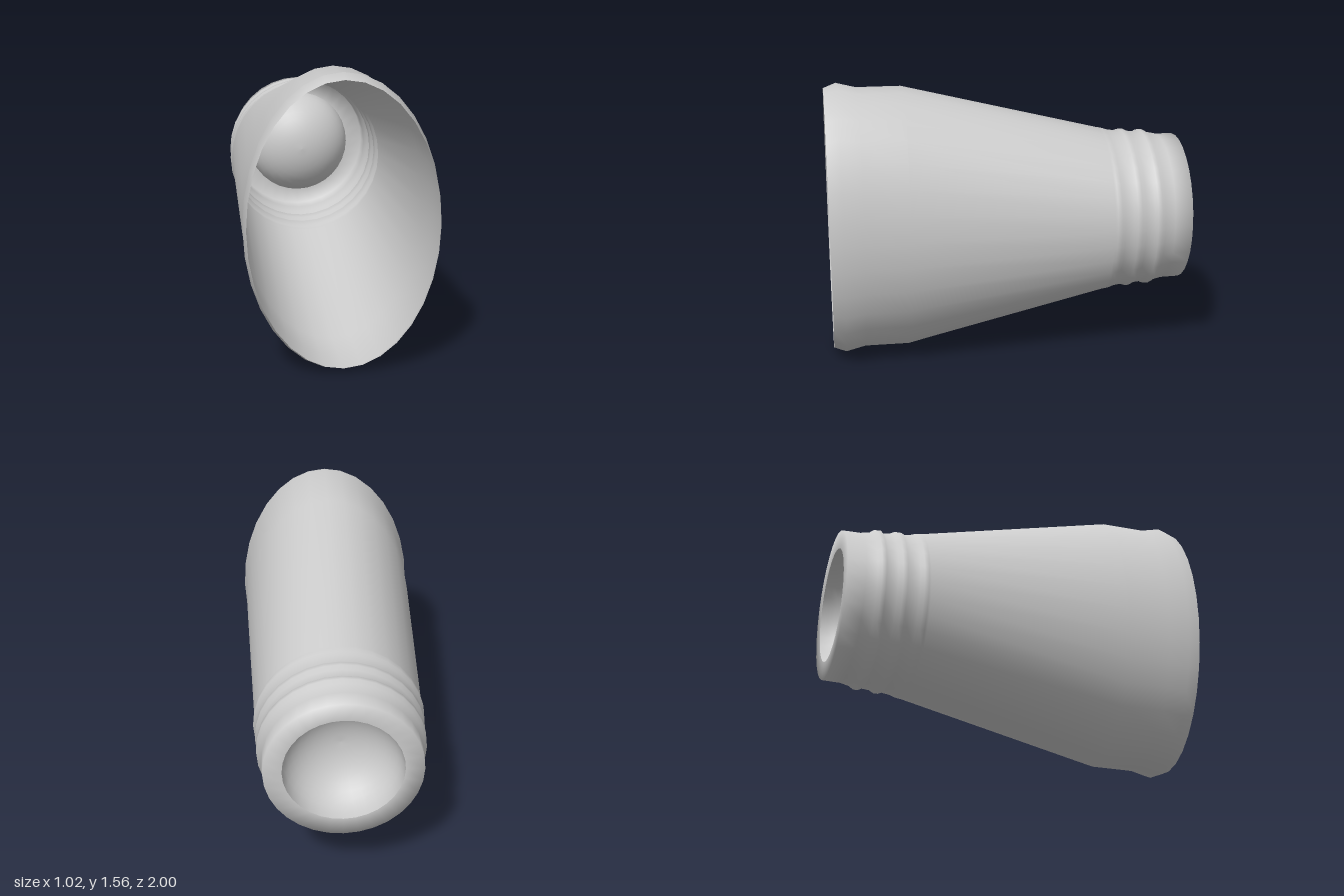
import * as THREE from 'three';

const SEGMENTS = 32;
const CENTRE_Y = 0.78;

// Skin a row of elliptical sections [z, rx, ry], ordered from front to back.
function loft(sections) {
  const positions = [], index = [];
  for (const [z, rx, ry] of sections) {
    for (let i = 0; i < SEGMENTS; i++) {
      const a = (i / SEGMENTS) * Math.PI * 2;
      positions.push(rx * Math.cos(a), ry * Math.sin(a), z);
    }
  }
  for (let s = 0; s < sections.length - 1; s++) {
    for (let i = 0; i < SEGMENTS; i++) {
      const j = (i + 1) % SEGMENTS;
      const a = s * SEGMENTS + i, b = s * SEGMENTS + j;
      const c = a + SEGMENTS, d = b + SEGMENTS;
      index.push(a, c, b, b, c, d);
    }
  }
  const geometry = new THREE.BufferGeometry();
  geometry.setAttribute('position', new THREE.Float32BufferAttribute(positions, 3));
  geometry.setIndex(index);
  geometry.computeVertexNormals();
  return geometry;
}

export function createModel() {
  const group = new THREE.Group();
  const material = new THREE.MeshStandardMaterial({ color: 0xcccccc, side: THREE.DoubleSide });
  const add = (name, geometry) => {
    const mesh = new THREE.Mesh(geometry, material);
    mesh.name = name;
    mesh.position.y = CENTRE_Y;
    group.add(mesh);
    return mesh;
  };

  // Thin open shell: oval flared mouth, taper, three ridges, round collar and flat back rim
  add('shell', loft([
    [1, 0.495, 0.752],
    [0.93, 0.508, 0.78],
    [0.82, 0.494, 0.752],
    [0.57, 0.49, 0.752],
    [-0.55, 0.453, 0.471],
    [-0.565, 0.461, 0.468],
    [-0.59, 0.461, 0.462],
    [-0.61, 0.448, 0.455],
    [-0.66, 0.444, 0.447],
    [-0.68, 0.452, 0.456],
    [-0.705, 0.452, 0.456],
    [-0.73, 0.439, 0.442],
    [-0.78, 0.436, 0.437],
    [-0.795, 0.448, 0.449],
    [-0.82, 0.447, 0.448],
    [-0.84, 0.433, 0.433],
    [-0.9, 0.42, 0.42],
    [-1, 0.418, 0.418],
    [-1, 0.318, 0.318],
  ]));

  // Eyepiece bowl, hollow from the back and domed towards the front
  const profile = [];
  for (let i = 0; i <= 10; i++) {
    const a = (i / 10) * Math.PI / 2;
    profile.push(new THREE.Vector2(0.318 * Math.cos(a), 0.25 * Math.sin(a)));
  }
  const bowl = add('eyepieceBowl', new THREE.LatheGeometry(profile, SEGMENTS));
  bowl.rotation.x = Math.PI / 2;
  bowl.position.z = -1;

  return group;
}
